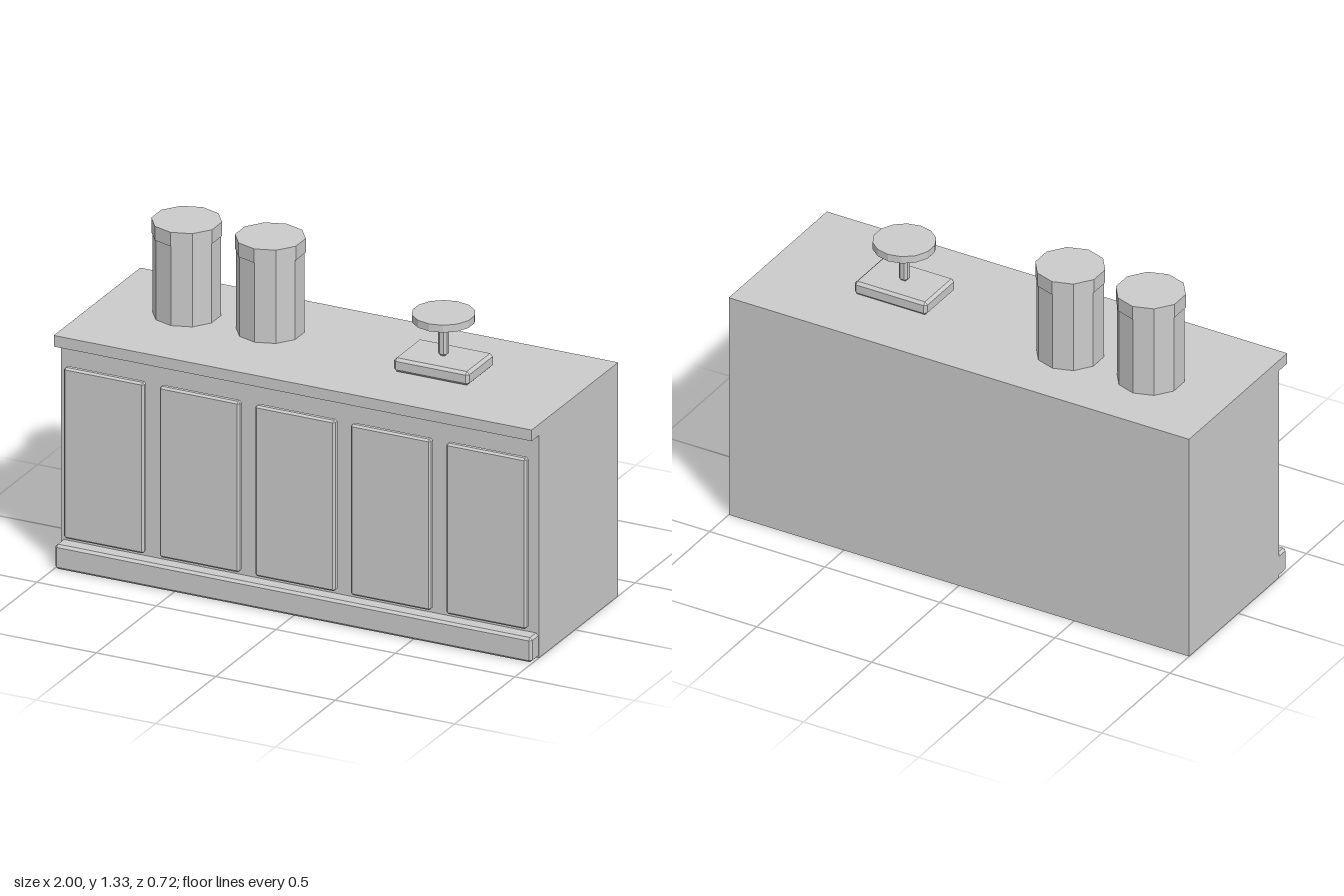
import * as THREE from 'three';
import { ConvexGeometry } from 'three/addons/geometries/ConvexGeometry.js';

const material = new THREE.MeshStandardMaterial({ color: 0xcccccc, flatShading: true });

function addPart(parent, name, geometry, x = 0, y = 0, z = 0) {
  const mesh = new THREE.Mesh(geometry, material);
  mesh.name = name;
  mesh.position.set(x, y, z);
  parent.add(mesh);
  return mesh;
}

// Box with every edge cut by a chamfer c
function chamferBox(w, h, d, c) {
  const points = [];
  for (const sx of [-1, 1]) for (const sy of [-1, 1]) for (const sz of [-1, 1]) {
    const x = w / 2, y = h / 2, z = d / 2;
    points.push(
      new THREE.Vector3(sx * x, sy * (y - c), sz * (z - c)),
      new THREE.Vector3(sx * (x - c), sy * y, sz * (z - c)),
      new THREE.Vector3(sx * (x - c), sy * (y - c), sz * z)
    );
  }
  return new ConvexGeometry(points);
}

export function createModel() {
  const model = new THREE.Group();
  model.name = 'counter';

  // Cabinet with overhanging top: side profile (z, y) extruded along x
  const profile = new THREE.Shape([
    [-0.36, 0], [0.3, 0], [0.3, 0.905], [0.36, 0.905], [0.36, 0.95], [-0.36, 0.95],
  ].map(([z, y]) => new THREE.Vector2(z, y)));
  const cabinet = new THREE.ExtrudeGeometry(profile, { depth: 2, bevelEnabled: false });
  cabinet.rotateY(-Math.PI / 2).translate(1, 0, 0);
  addPart(model, 'cabinet', cabinet);

  // Plinth along the front foot
  addPart(model, 'baseboard', chamferBox(1.996, 0.1, 0.08, 0.01), 0, 0.05, 0.32);

  // Five raised front panels
  const panel = chamferBox(0.336, 0.695, 0.03, 0.008);
  for (let i = 0; i < 5; i++) addPart(model, 'frontPanel', panel, -0.8 + i * 0.4, 0.472, 0.33);

  // Two ten-sided jars with lids
  for (const x of [-0.65, -0.3]) {
    const jar = new THREE.Group();
    jar.name = 'jar';
    jar.position.set(x, 0.95, -0.05);
    addPart(jar, 'jarBody', new THREE.CylinderGeometry(0.13, 0.13, 0.34, 10), 0, 0.17, 0);
    addPart(jar, 'jarLid', new THREE.CylinderGeometry(0.134, 0.134, 0.057, 10), 0, 0.3525, 0);
    model.add(jar);
  }

  // Weighing scale: base, post and round plate
  const scale = new THREE.Group();
  scale.name = 'scale';
  scale.position.set(0.45, 0.95, 0);
  addPart(scale, 'scaleBase', chamferBox(0.315, 0.056, 0.216, 0.011), 0, 0.032, 0);
  addPart(scale, 'scalePost', chamferBox(0.037, 0.137, 0.037, 0.01), 0, 0.13, 0);
  addPart(scale, 'scalePlate', new THREE.CylinderGeometry(0.12, 0.12, 0.03, 14), 0, 0.219, 0);
  model.add(scale);

  return model;
}
